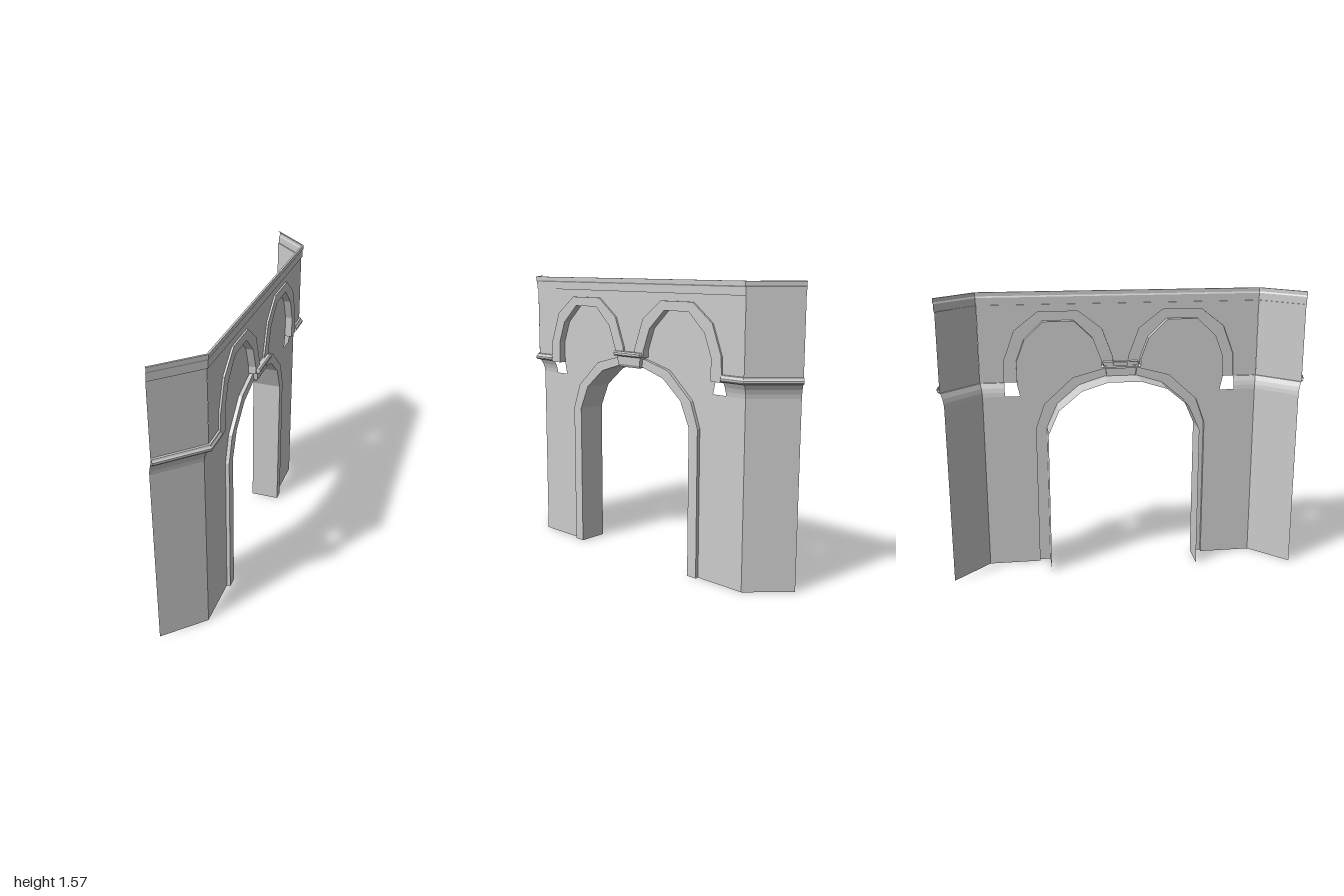
import * as THREE from 'three';

const mat = new THREE.MeshStandardMaterial({ color: 0xcccccc, flatShading: true, side: THREE.DoubleSide });

function add(group, name, geometry) {
  const mesh = new THREE.Mesh(geometry, mat);
  mesh.name = name;
  group.add(mesh);
}

// Surface through rows of [x, y, z] points; columns run +z to -z, rows run upward
function loft(rows) {
  const pos = [];
  for (let r = 0; r < rows.length - 1; r++) {
    for (let c = 0; c < rows[r].length - 1; c++) {
      const a = rows[r][c], b = rows[r][c + 1], d = rows[r + 1][c + 1], e = rows[r + 1][c];
      pos.push(...a, ...b, ...d, ...a, ...d, ...e);
    }
  }
  const g = new THREE.BufferGeometry();
  g.setAttribute('position', new THREE.Float32BufferAttribute(pos, 3));
  g.computeVertexNormals();
  return g;
}

// Flat wall outlined by [z, y] points, facing +x
function panel(points, x) {
  const shape = new THREE.Shape(points.map(([z, y]) => new THREE.Vector2(-z, y)));
  return new THREE.ShapeGeometry(shape).rotateY(Math.PI / 2).translate(x, 0, 0);
}

const mirror = pts => pts.map(([z, y]) => [-z, y]).reverse();

// Plan of one wing at offset d in front of the lower wall, as [x, z]
const wingPlan = d => [[-0.13 + 0.707 * d, 0.965 + 0.707 * d], [0.065 + d, 0.77 + 0.414 * d]];

// Sweep a profile of [offset, y] round one wing, on to z0 if given
function sweepWing(profile, side, z0) {
  return loft(profile.map(([d, y]) => {
    const plan = wingPlan(d);
    if (z0 !== undefined) plan.push([0.065 + d, z0]);
    const row = plan.map(([x, z]) => [x, y, z * side]);
    return side > 0 ? row : row.reverse();
  }));
}

// Sweep a profile along the whole facade
function sweepAll(profile) {
  return loft(profile.map(([d, y]) => {
    const half = wingPlan(d).map(([x, z]) => [x, y, z]);
    return [...half, ...half.map(([x, yy, z]) => [x, yy, -z]).reverse()];
  }));
}

// Arch moulding: reveal, face and outer edge
function archTrim(inner, outer, back, front, wall) {
  const at = (pts, x) => pts.map(([z, y]) => [x, y, z]);
  return loft([at(inner, back), at(inner, front), at(outer, front), at(outer, wall)]);
}

// Upper arch outline centred on z = 0.345, with a shorter leg beside the keystone
function blindArch(half) {
  const c = 0.345;
  const pts = [...half.map(([w, y]) => [c + w, y]), ...half.map(([w, y]) => [c - w, y]).reverse()];
  pts[pts.length - 1][1] = 1.15;
  return pts;
}

export function createModel() {
  const model = new THREE.Group();
  model.name = 'archedFacade';
  const wallX = 0.065, upperX = 0.095;

  // Arch outlines
  const gateInHalf = [[0.42, 0], [0.42, 0.81], [0.36, 0.945], [0.235, 1.05], [0.09, 1.095]];
  const gateOutHalf = [[0.48, 0], [0.48, 0.81], [0.43, 0.95], [0.27, 1.095], [0.1, 1.14]];
  const gateIn = [...gateInHalf, ...mirror(gateInHalf)];
  const gateOut = [...gateOutHalf, ...mirror(gateOutHalf)];
  const blindIn = blindArch([[0.235, 1.07], [0.235, 1.19], [0.19, 1.31], [0.085, 1.41]]);
  const blindOut = blindArch([[0.305, 1.07], [0.3, 1.2], [0.24, 1.36], [0.11, 1.46]]);

  // Lower wall, continuing up as the backs of the blind arches
  const lowerHalf = [[0.77, 0], [0.77, 1], [0.565, 1], ...blindIn];
  add(model, 'lowerWall', panel([...lowerHalf, ...mirror(lowerHalf), ...[...gateOut].reverse()], wallX));

  // Upper wall round the blind arches
  add(model, 'upperWall', panel([
    [0.782, 1.07], [0.782, 1.5], [-0.782, 1.5], [-0.782, 1.07],
    ...[...mirror(blindOut)].reverse(), ...[...blindOut].reverse(),
  ], upperX));

  // Gate moulding with deep soffit
  add(model, 'gateArch', archTrim(gateIn, gateOut, -0.08, 0.085, wallX));

  // Both sides: blind arch moulding, wing walls, flared capital and string course
  for (const side of [1, -1]) {
    const s = side > 0 ? 'Left' : 'Right';
    const pick = pts => (side > 0 ? pts : mirror(pts));
    add(model, 'blindArch' + s, archTrim(pick(blindIn), pick(blindOut), wallX, 0.105, upperX));
    add(model, 'lowerWing' + s, sweepWing([[0, 0], [0, 1]], side));
    add(model, 'upperWing' + s, sweepWing([[0.03, 1.07], [0.03, 1.5]], side));
    add(model, 'capital' + s, sweepWing([
      [0, 1], [0.003, 1.022], [0.01, 1.045], [0.024, 1.072], [0.044, 1.075],
      [0.05, 1.083], [0.05, 1.093], [0.043, 1.1], [0.04, 1.108], [0.03, 1.11],
    ], side, 0.648));
  }

  // Cornice
  add(model, 'cornice', sweepAll([
    [0.03, 1.5], [0.036, 1.5], [0.036, 1.54], [0.041, 1.548], [0.041, 1.57], [0.03, 1.57],
  ]));

  // Keystone bracket: rows of [half width, front x, y]
  const key = [
    [0.07, 0.066, 1.09], [0.07, 0.098, 1.09], [0.082, 0.106, 1.105], [0.088, 0.108, 1.148],
    [0.098, 0.12, 1.15], [0.1, 0.126, 1.157], [0.1, 0.126, 1.168], [0.096, 0.12, 1.176], [0.096, 0.066, 1.176],
  ];
  add(model, 'keystone', loft(key.map(([w, x, y]) => [[0.065, y, w], [x, y, w], [x, y, -w], [0.065, y, -w]])));

  return model;
}
